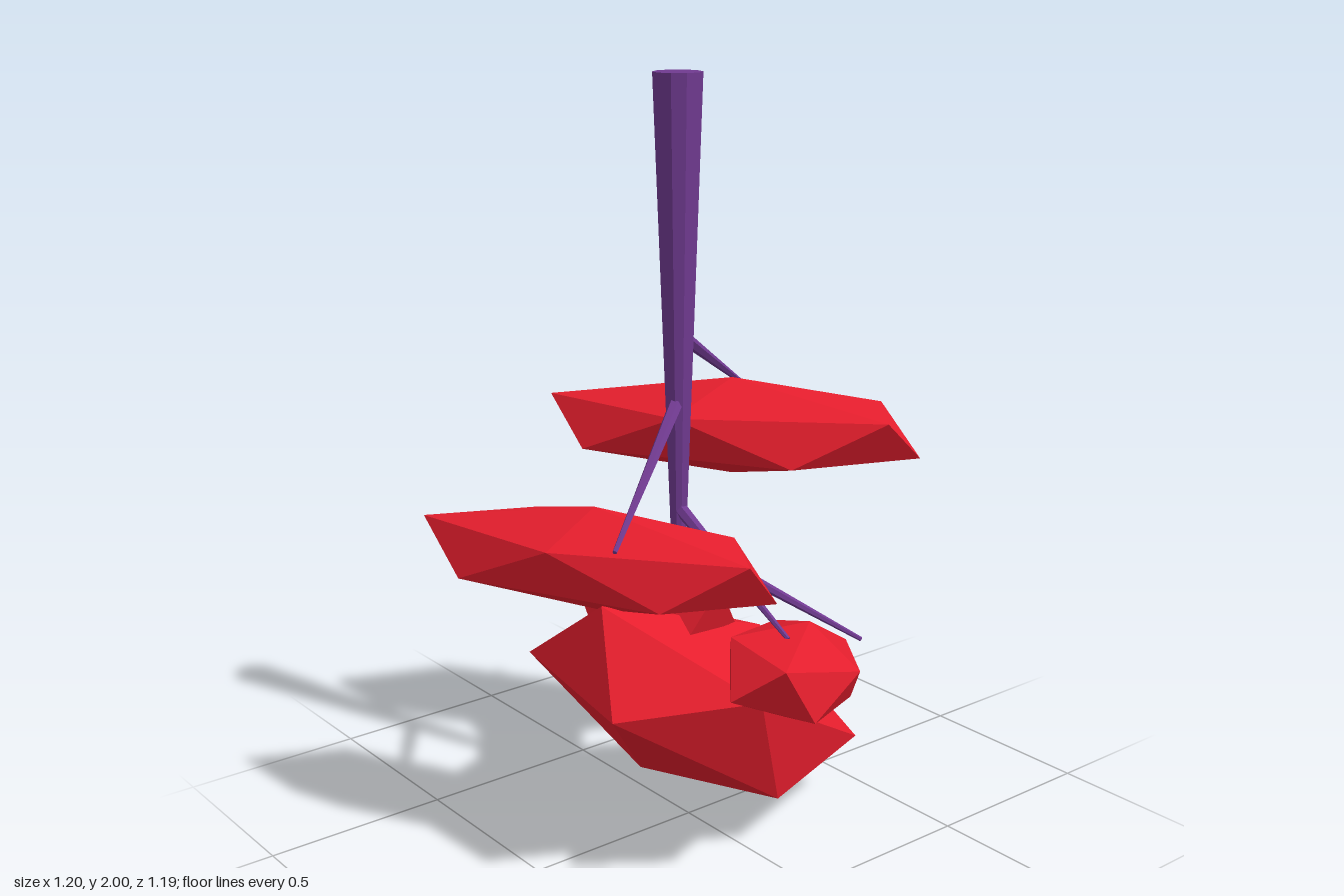
import * as THREE from 'three';

const red = new THREE.MeshStandardMaterial({ color: 0xe61e2d, flatShading: true });
const purple = new THREE.MeshStandardMaterial({ color: 0x703a90, flatShading: true });
const V = (p) => new THREE.Vector3(...p);

// Icosahedron standing on a corner, with one upper ring corner towards +x
function uprightIcosahedron() {
  const golden = (1 + Math.sqrt(5)) / 2;
  return new THREE.IcosahedronGeometry(1, 0).rotateX(-Math.atan(golden)).rotateY(Math.PI / 2);
}

// Stretched clump: pole is the thin axis, a and b span the ring of corners
function clump(name, center, a, pole, b) {
  const ring = 2 / Math.sqrt(5);
  const m = new THREE.Matrix4()
    .makeBasis(V(a).divideScalar(ring), V(pole), V(b).divideScalar(ring))
    .setPosition(V(center));
  const mesh = new THREE.Mesh(uprightIcosahedron().applyMatrix4(m), red);
  mesh.name = name;
  return mesh;
}

// Tapered rod between two points
function rod(name, from, to, r0, r1, sides) {
  const p = V(from), q = V(to), d = q.clone().sub(p);
  const mesh = new THREE.Mesh(new THREE.CylinderGeometry(r1, r0, d.length(), sides), purple);
  mesh.position.copy(p).add(q).multiplyScalar(0.5);
  mesh.quaternion.setFromUnitVectors(new THREE.Vector3(0, 1, 0), d.normalize());
  mesh.name = name;
  return mesh;
}

export function createModel() {
  const group = new THREE.Group();
  const tx = -0.042;

  // Stem, thick at the top and thin at the bottom
  group.add(rod('stem', [tx, 0.65, 0], [tx, 2, 0], 0.015, 0.063, 10));

  // Drooping branches: start height on the stem, then tip
  const branches = [
    [1.345, [-0.27, 1.1, -0.42]],
    [1.175, [0.21, 0.91, 0.395]],
    [0.88, [0.386, 0.64, -0.008]],
    [0.79, [0.293, 0.52, -0.355]],
    [0.77, [-0.52, 0.52, 0.01]],
  ];
  branches.forEach(([y, tip], i) =>
    group.add(rod('branch' + (i + 1), [tx, y, 0], tip, 0.019, 0.006, 6)));

  // Faceted clumps, from top to bottom
  group.add(
    clump('topClump', [-0.14, 1.035, -0.265], [-0.406, 0, 0.318], [0, 0.135, 0], [-0.156, 0, -0.131]),
    clump('frontClump', [0.043, 0.835, 0.333], [0.4225, 0, -0.144], [0, 0.135, 0], [-0.105, 0, 0.224]),
    clump('leftClump', [0.285, 0.4975, -0.12], [0.309, 0.122, 0.33], [0.003, 0.119, -0.051], [-0.071, 0.07, 0.167]),
    clump('rightClump', [-0.19, 0.54, -0.03], [-0.376, -0.136, -0.195], [-0.035, 0.125, -0.01], [0.207, 0.078, -0.082]),
    clump('bottomClump', [0.066, 0.381, 0.014], [-0.183, 0.028, 0.271], [0.095, 0.378, 0.387], [-0.228, 0.06, -0.19]),
  );
  return group;
}
